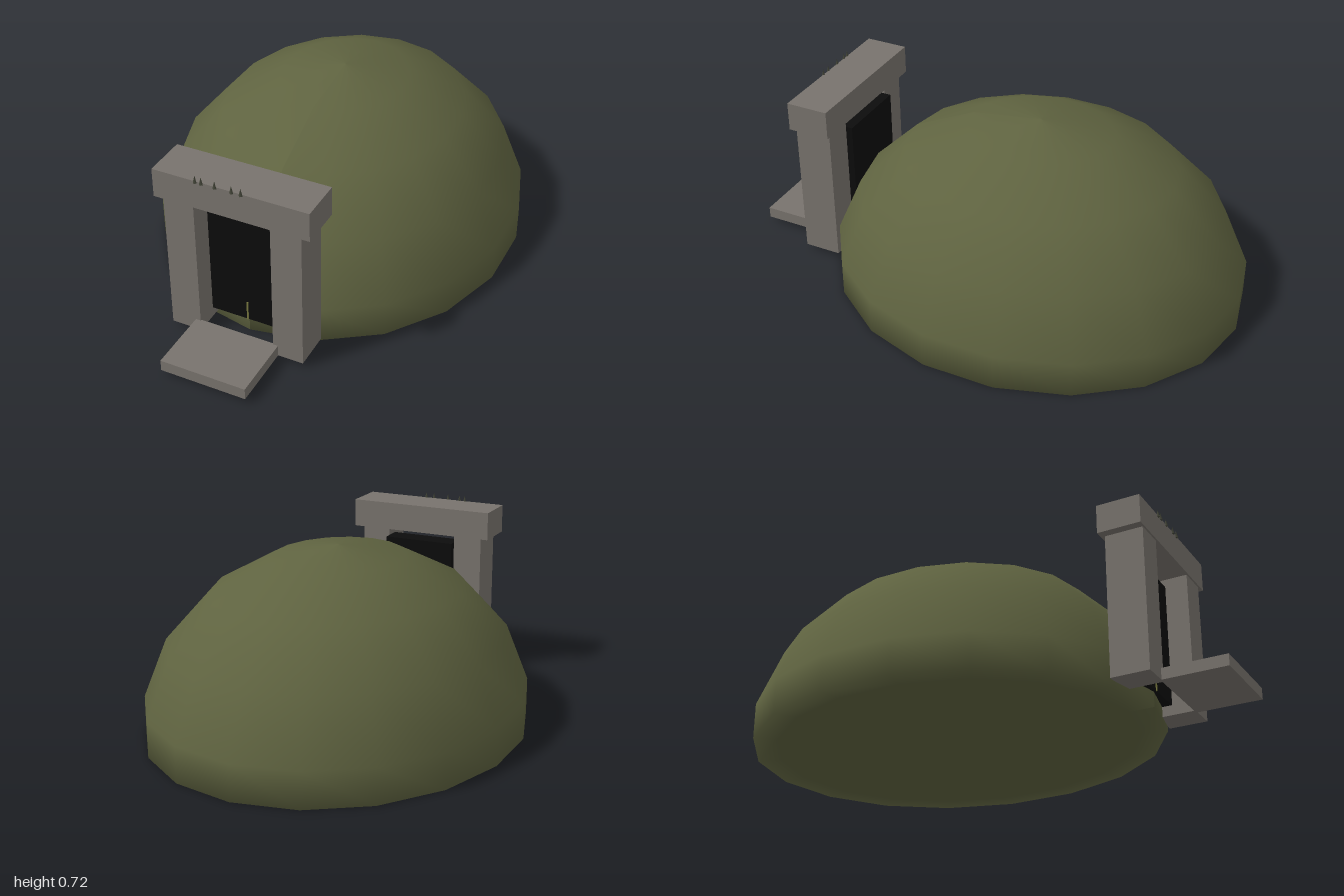
import * as THREE from 'three';

const material = (name, color) => {
  const m = new THREE.MeshStandardMaterial({ color });
  m.name = name;
  return m;
};

export function createModel() {
  const group = new THREE.Group();
  group.name = 'moundShelter';
  const grass = material('mossy green', 0x5f6340);
  const stone = material('grey stone', 0x78736d);
  const black = material('dark opening', 0x0c0c0c);
  const moss = material('dark moss', 0x45473a);
  const glint = material('olive glint', 0x77773f);

  const add = (name, geometry, mat) => {
    const mesh = new THREE.Mesh(geometry, mat);
    mesh.name = name;
    group.add(mesh);
    return mesh;
  };
  // box given by its minimum and maximum on each axis
  const box = (name, mat, [x0, x1], [y0, y1], [z0, z1]) =>
    add(name, new THREE.BoxGeometry(x1 - x0, y1 - y0, z1 - z0), mat)
      .position.set((x0 + x1) / 2, (y0 + y1) / 2, (z0 + z1) / 2);

  // earth mound: stretched sphere pressed flat on the ground
  const dome = new THREE.SphereGeometry(1, 18, 9);
  dome.rotateY(Math.PI / 2);
  dome.scale(0.727, 0.69, 0.838);
  dome.translate(0, 0.02, -0.175);
  const p = dome.attributes.position;
  for (let i = 0; i < p.count; i++) p.setY(i, Math.max(0, p.getY(i)));
  dome.computeVertexNormals();
  add('mound', dome, grass);

  // stone doorway
  box('leftPillar', stone, [0.15, 0.27], [0.02, 0.585], [0.6, 0.75]);
  box('rightPillar', stone, [-0.27, -0.15], [0.02, 0.585], [0.6, 0.75]);
  box('lintel', stone, [-0.305, 0.305], [0.585, 0.7], [0.585, 0.757]);
  box('doorstep', stone, [-0.17, 0.17], [0.02, 0.065], [0.745, 1]);
  box('doorOpening', black, [-0.15, 0.15], [0.06, 0.555], [0.572, 0.66]);
  box('doorGlint', glint, [-0.003, 0.003], [0.06, 0.14], [0.66, 0.664]);

  // little tufts along the front edge of the lintel
  for (const x of [-0.132, -0.108, -0.055, 0.01, 0.046]) {
    add('tuft', new THREE.ConeGeometry(0.008, 0.03, 4), moss).position.set(x, 0.708, 0.757);
  }
  return group;
}
